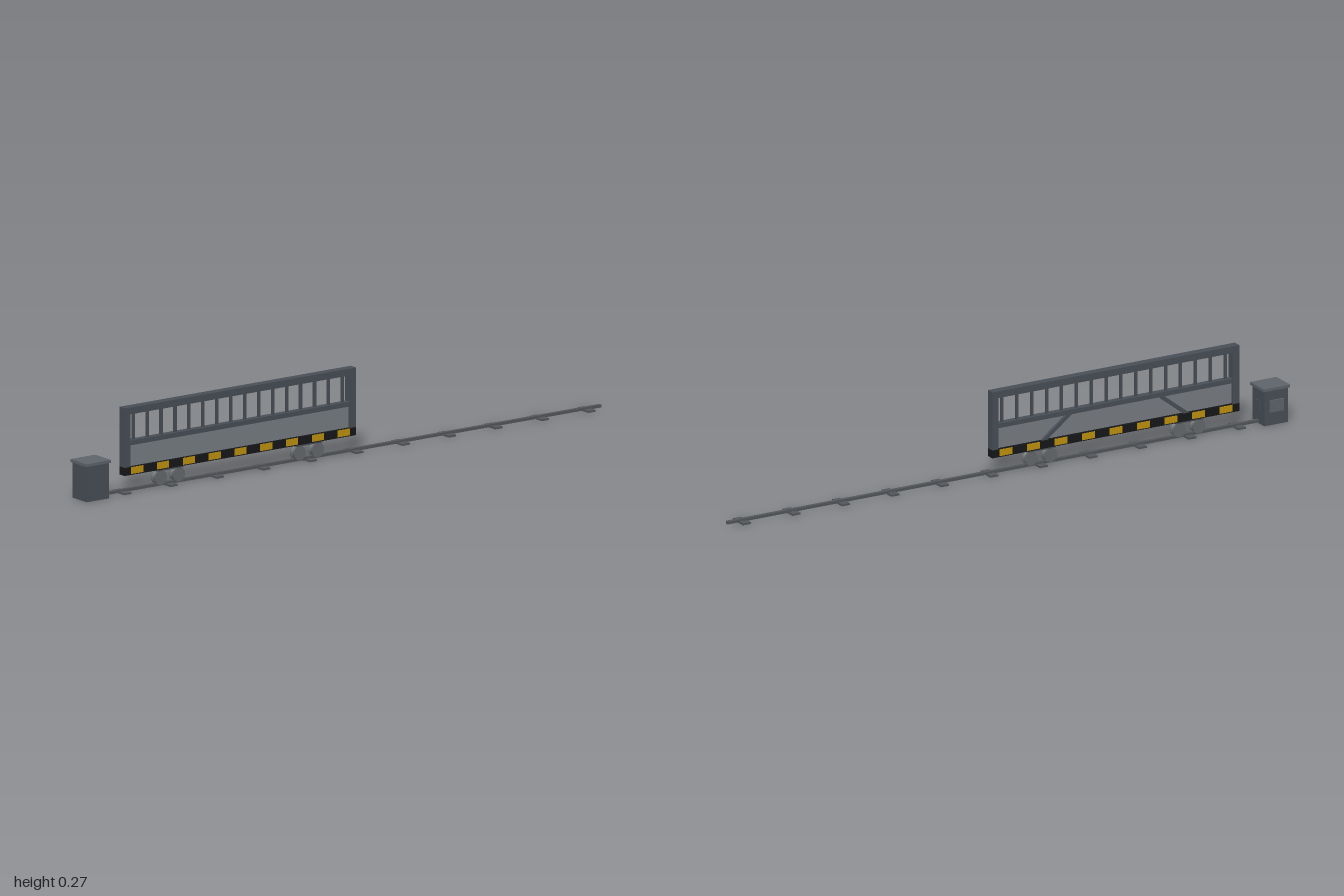
import * as THREE from 'three';

const mat = (color) => new THREE.MeshStandardMaterial({ color });
const frameMat = mat(0x4a5058), sheetMat = mat(0x7a8086), railMat = mat(0x55585c);
const blackMat = mat(0x17181a), yellowMat = mat(0xc4950f), wheelMat = mat(0x686b6e), capMat = mat(0x60666c);

// Box given by its limits on each axis
function box(parent, name, material, [x0, x1], [y0, y1], [z0, z1]) {
  const mesh = new THREE.Mesh(new THREE.BoxGeometry(x1 - x0, y1 - y0, z1 - z0), material);
  mesh.position.set((x0 + x1) / 2, (y0 + y1) / 2, (z0 + z1) / 2);
  mesh.name = name;
  parent.add(mesh);
  return mesh;
}

function group(parent, name) {
  const g = new THREE.Group();
  g.name = name;
  parent.add(g);
  return g;
}

const X0 = -0.835, X1 = 0.053, MID = (X0 + X1) / 2; // gate ends
const ZC = 0.004, DEPTH = [-0.01, 0.018];           // gate centre line and depth

function buildTrack(parent) {
  const track = group(parent, 'track');
  box(track, 'rail', railMat, [-0.92, 1], [0.003, 0.012], [ZC - 0.006, ZC + 0.006]);
  for (let i = 0; i < 11; i++) {
    const x = -0.835 + i * 0.178;
    box(track, 'sleeper', railMat, [x - 0.014, x + 0.014], [0, 0.006], [ZC - 0.03, ZC + 0.03]);
  }
}

function buildLeaf(parent) {
  const leaf = group(parent, 'gateLeaf');
  // Outer frame
  box(leaf, 'topRail', frameMat, [X0, X1], [0.25, 0.272], DEPTH);
  box(leaf, 'leftPost', frameMat, [X1 - 0.022, X1], [0.082, 0.25], DEPTH);
  box(leaf, 'rightPost', frameMat, [X0, X0 + 0.022], [0.082, 0.25], DEPTH);
  box(leaf, 'middleRail', frameMat, [X0 + 0.022, X1 - 0.022], [0.15, 0.165], [-0.007, 0.015]);
  box(leaf, 'bottomRail', blackMat, [X0, X1], [0.056, 0.082], DEPTH);
  // Infill sheet and upright bars
  box(leaf, 'infillSheet', sheetMat, [X0 + 0.022, X1 - 0.022], [0.082, 0.15], [0.001, 0.009]);
  for (let i = 0; i < 16; i++) {
    const x = MID + (i - 7.5) * 0.0535;
    box(leaf, 'uprightBar', frameMat, [x - 0.004, x + 0.004], [0.165, 0.25], [ZC - 0.004, ZC + 0.004]);
  }
  // Warning stripes, seen on both faces
  for (let i = 0; i < 9; i++) {
    const x = MID + (i - 4) * 0.099;
    box(leaf, 'warningStripe', yellowMat, [x - 0.023, x + 0.023], [0.059, 0.081], [-0.011, 0.019]);
  }
  // Diagonal braces on the back of the sheet
  for (const side of [-1, 1]) {
    const points = [[0.245, 0.082], [0.265, 0.082], [0.177, 0.15], [0.157, 0.15]]
      .map(([x, y]) => new THREE.Vector2(MID + side * x, y));
    const geometry = new THREE.ExtrudeGeometry(new THREE.Shape(points), { depth: 0.009, bevelEnabled: false });
    const brace = new THREE.Mesh(geometry, frameMat);
    brace.position.z = -0.008;
    brace.name = side > 0 ? 'leftBrace' : 'rightBrace';
    leaf.add(brace);
  }
}

function buildCarriages(parent) {
  // Grooved wheel that straddles the rail
  const profile = [[0, -0.01], [0.023, -0.01], [0.023, -0.007], [0.018, -0.004],
    [0.018, 0.004], [0.023, 0.007], [0.023, 0.01], [0, 0.01]].map(([r, y]) => new THREE.Vector2(r, y));
  const wheelGeometry = new THREE.LatheGeometry(profile, 20).toNonIndexed();
  wheelGeometry.computeVertexNormals();
  for (const x of [-0.658, -0.125]) {
    const carriage = group(parent, 'wheelCarriage');
    box(carriage, 'mountingPlate', frameMat, [x - 0.05, x + 0.05], [0.051, 0.057], [-0.008, 0.016]);
    for (const dx of [-0.035, 0.035]) {
      const wheel = new THREE.Mesh(wheelGeometry, wheelMat);
      wheel.rotation.x = Math.PI / 2;
      wheel.position.set(x + dx, 0.029, ZC);
      wheel.name = 'wheel';
      carriage.add(wheel);
    }
  }
}

function buildDriveCabinet(parent) {
  const cabinet = group(parent, 'driveCabinet');
  box(cabinet, 'cabinetBody', frameMat, [-0.995, -0.91], [0, 0.114], [-0.036, 0.038]);
  box(cabinet, 'cabinetLid', capMat, [-1, -0.905], [0.114, 0.123], [-0.041, 0.043]);
  box(cabinet, 'backPanel', capMat, [-0.977, -0.928], [0.043, 0.082], [-0.041, -0.036]);
  box(cabinet, 'sidePanel', frameMat, [-0.91, -0.907], [0.041, 0.077], [-0.014, 0.023]);
}

export function createModel() {
  const model = new THREE.Group();
  model.name = 'slidingGate';
  buildTrack(model);
  buildLeaf(model);
  buildCarriages(model);
  buildDriveCabinet(model);
  return model;
}
